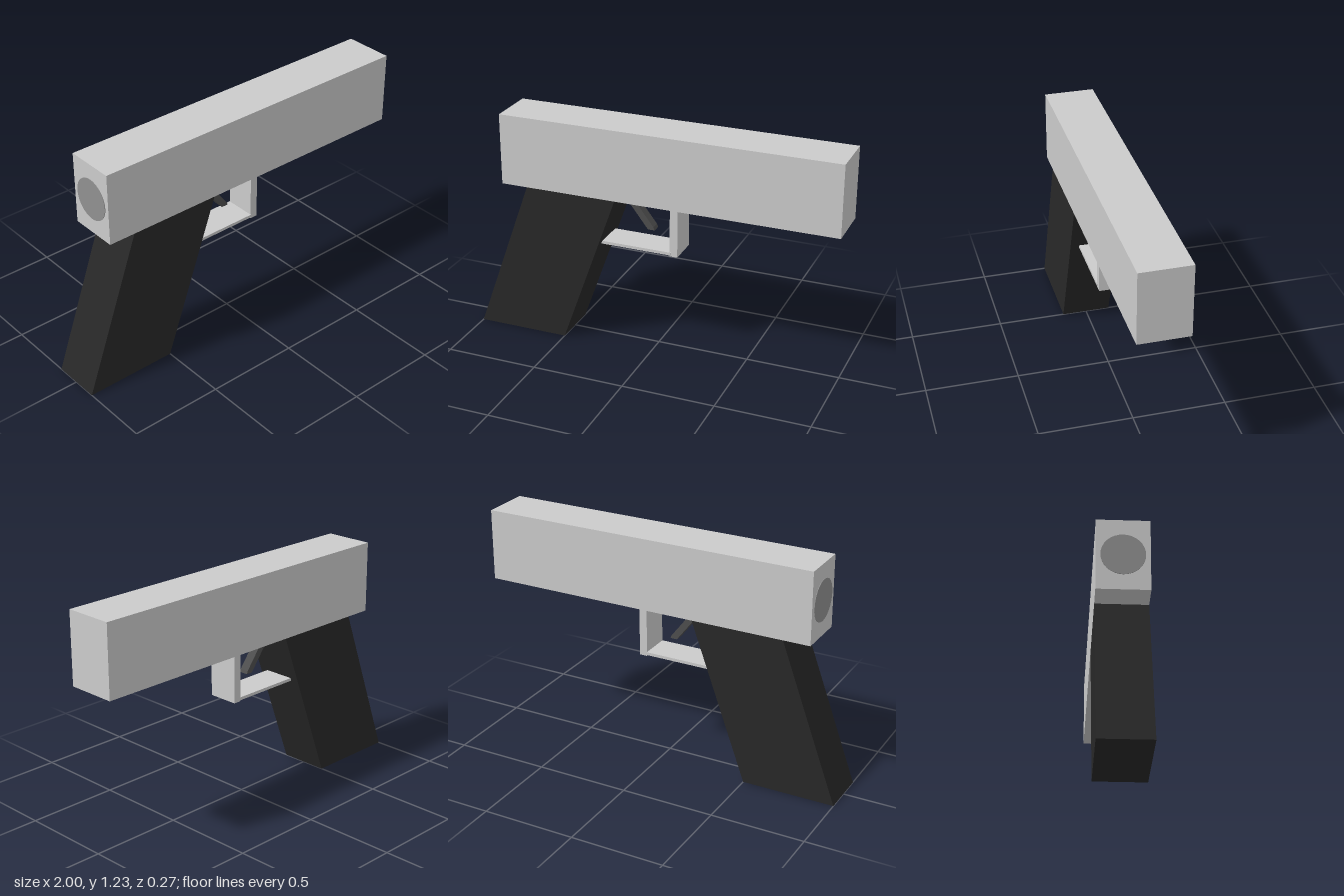
import * as THREE from 'three';

const mat = (color) => new THREE.MeshStandardMaterial({ color, flatShading: true });

export function createModel() {
  const model = new THREE.Group();
  const grey = mat(0xcccccc);

  const add = (name, geometry, material) => {
    const mesh = new THREE.Mesh(geometry, material);
    mesh.name = name;
    model.add(mesh);
    return mesh;
  };

  // Box given by its limits in x and y and its full depth in z
  const block = (name, x0, x1, y0, y1, depth, material) =>
    add(name, new THREE.BoxGeometry(x1 - x0, y1 - y0, depth), material)
      .position.set((x0 + x1) / 2, (y0 + y1) / 2, 0);

  // Side outline extruded evenly about z = 0
  const slab = (name, points, depth, material) => {
    const shape = new THREE.Shape(points.map(([x, y]) => new THREE.Vector2(x, y)));
    const geometry = new THREE.ExtrudeGeometry(shape, { depth, bevelEnabled: false });
    add(name, geometry.translate(0, 0, -depth / 2), material);
  };

  // Upper body
  block('slide', -0.837, 1, 0.845, 1.23, 0.266, grey);

  // Round core, showing as a disc on the rear face
  const core = new THREE.CylinderGeometry(0.11, 0.11, 1.838, 32).rotateZ(Math.PI / 2);
  add('barrel', core, mat(0x909090)).position.set(0.079, 1.037, 0);

  // Slanted handle
  slab('grip', [[-1, 0], [-0.5, 0], [-0.193, 0.845], [-0.693, 0.845]], 0.266, mat(0x282828));

  // Trigger and its guard
  slab('trigger', [[-0.2, 0.86], [-0.052, 0.668], [-0.015, 0.668], [-0.021, 0.684], [-0.157, 0.86]], 0.05, mat(0x4e4e4e));
  block('guardPost', 0.093, 0.135, 0.565, 0.85, 0.166, grey);
  block('guardBar', -0.33, 0.1, 0.571, 0.587, 0.17, grey);

  return model;
}
